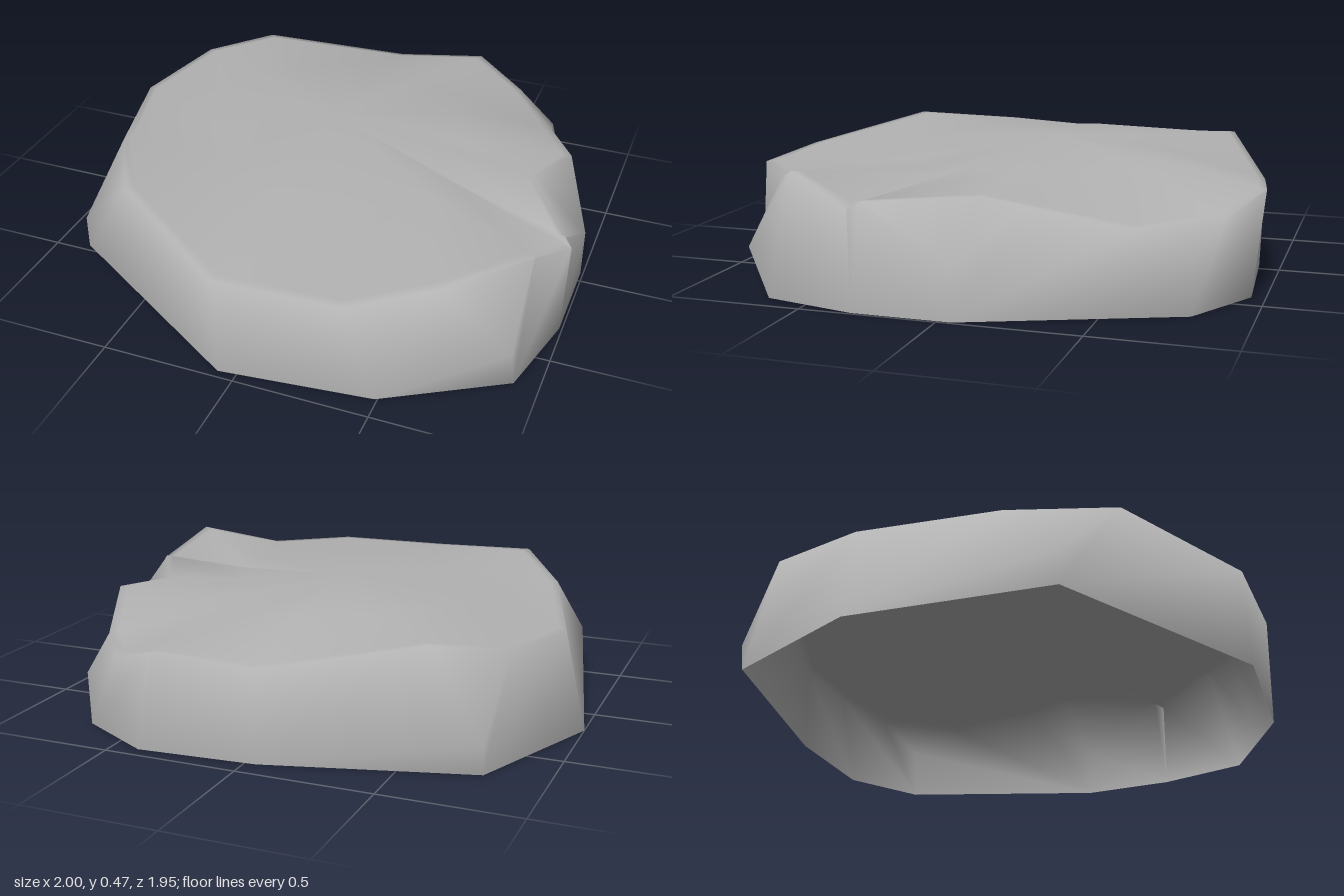
import * as THREE from 'three';
import { toCreasedNormals } from 'three/addons/utils/BufferGeometryUtils.js';

// Corners counter-clockwise from above: base point, rim point(s),
// and for chipped corners the low tip of the chip.
const corners = [
  { base: [-0.07, 0, 0.97], tops: [[-0.08, 0.38, 0.96]] },
  { base: [0.49, 0, 0.91], tops: [[0.38, 0.38, 0.94]] },
  { base: [0.91, 0, 0.66], low: [0.91, 0.18, 0.73], tops: [[0.65, 0.38, 0.73], [0.92, 0.46, 0.55]] },
  { base: [0.99, 0, 0.31], tops: [[1, 0.36, 0.31]] },
  { base: [0.99, 0, -0.05], low: [0.99, 0.19, -0.05], tops: [[0.97, 0.38, 0.28], [0.77, 0.38, -0.08], [0.87, 0.38, -0.27]] },
  { base: [0.69, 0, -0.79], low: [0.69, 0.2, -0.8], tops: [[0.72, 0.29, -0.6], [0.52, 0.3, -0.87]] },
  { base: [0.4, 0, -0.95], tops: [[0.31, 0.37, -0.98]] },
  { base: [-0.04, 0, -0.92], tops: [[-0.04, 0.34, -0.93]] },
  { base: [-0.78, 0, -0.72], low: [-0.78, 0.1, -0.73], tops: [[-0.59, 0.43, -0.73], [-0.82, 0.39, -0.57]] },
  { base: [-1, 0, -0.18], tops: [[-0.92, 0.37, -0.19]] },
  { base: [-0.83, 0.05, 0.53], low: [-0.83, 0.18, 0.53], tops: [[-0.77, 0.42, 0.3], [-0.56, 0.46, 0.66]] },
];

const same = (a, b) => a.every((v, i) => v === b[i]);
const mix = (a, b, t) => a.map((v, i) => v + (b[i] - v) * t);

// Triangle fan over a polygon, dropping repeated points
function addFan(out, points) {
  const p = points.filter((v, i) => !same(v, points[(i + 1) % points.length]));
  for (let i = 1; i < p.length - 1; i++) out.push(...p[0], ...p[i], ...p[i + 1]);
}

export function createModel() {
  const group = new THREE.Group();
  group.name = 'flatRock';
  const stone = new THREE.MeshStandardMaterial({ color: 0xb2b2b2, side: THREE.DoubleSide });
  stone.name = 'grey stone';

  const shell = [], rim = [];
  corners.forEach((a, i) => {
    const b = corners[(i + 1) % corners.length];
    const endA = a.tops[a.tops.length - 1], startB = b.tops[0];
    // Wall panel to the next corner
    addFan(shell, [a.base, b.base, b.low ?? startB, startB, endA, a.low ?? endA]);
    // Broken corner facets
    for (let j = 0; j + 1 < a.tops.length; j++) addFan(shell, [a.low, a.tops[j + 1], a.tops[j]]);
    rim.push(...a.tops);
  });

  // Uneven top: rim, narrow softened border, inner ring sloping to the side, crown
  const crown = [-0.05, 0.468, -0.1];
  const inner = rim.map((p) => {
    const q = mix(crown, p, 0.55);
    return [q[0], 0.425 - 0.04 * q[0], q[2]];
  });
  const border = rim.map((p, i) => mix(p, inner[i], 0.08));
  rim.forEach((p, i) => {
    const n = (i + 1) % rim.length;
    addFan(shell, [p, rim[n], border[n], border[i]]);
    addFan(shell, [border[i], border[n], inner[n], inner[i]]);
    addFan(shell, [crown, inner[i], inner[n]]);
  });

  // One continuous skin, open underneath, with softened edges
  const geometry = new THREE.BufferGeometry();
  geometry.setAttribute('position', new THREE.Float32BufferAttribute(shell, 3));
  const rock = new THREE.Mesh(toCreasedNormals(geometry, 1.65), stone);
  rock.name = 'rockShell';
  group.add(rock);
  return group;
}
